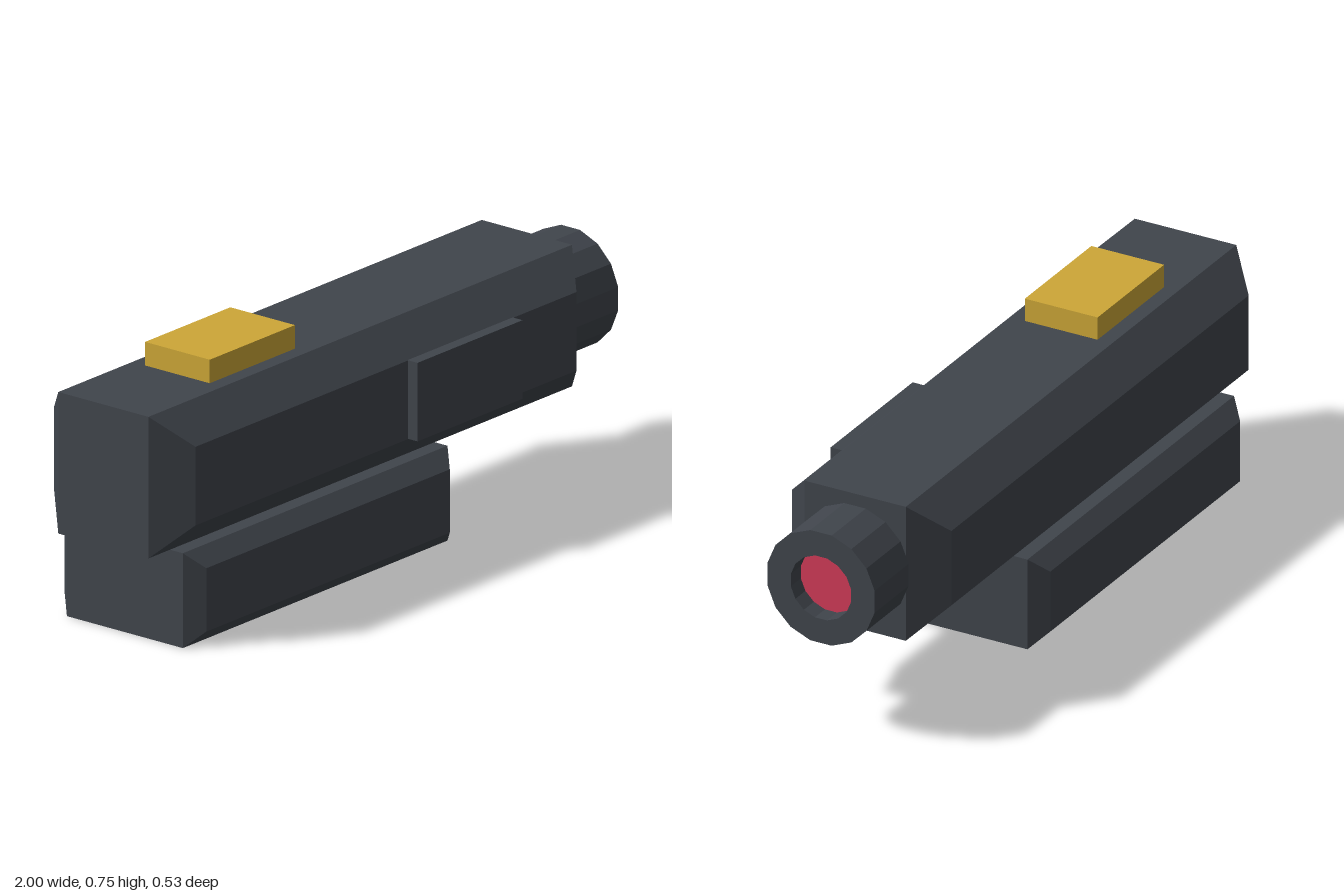
import * as THREE from 'three';

const MID_Z = -0.016;
const dark = new THREE.MeshStandardMaterial({ name: 'darkGrey', color: 0x40454c });
const gold = new THREE.MeshStandardMaterial({ name: 'gold', color: 0xcda737 });
const red = new THREE.MeshStandardMaterial({ name: 'red', color: 0xd23c59 });

// Block whose front and back faces are chamfered by c on all four sides
function chamferedBlock(x0, x1, y0, y1, depth, c) {
  const s = new THREE.Shape();
  s.moveTo(x0 + c, y0 + c);
  s.lineTo(x1 - c, y0 + c);
  s.lineTo(x1 - c, y1 - c);
  s.lineTo(x0 + c, y1 - c);
  s.closePath();
  const core = depth - 2 * c;
  const geo = new THREE.ExtrudeGeometry(s, {
    depth: core, bevelEnabled: true, bevelSegments: 1, bevelSize: c, bevelThickness: c,
  });
  return geo.translate(0, 0, MID_Z - core / 2);
}

function box(x0, x1, y0, y1, z0, z1) {
  return new THREE.BoxGeometry(x1 - x0, y1 - y0, z1 - z0)
    .translate((x0 + x1) / 2, (y0 + y1) / 2, (z0 + z1) / 2);
}

export function createModel() {
  const model = new THREE.Group();
  model.name = 'sightingDevice';
  const add = (name, geo, mat) => {
    const mesh = new THREE.Mesh(geo, mat);
    mesh.name = name;
    model.add(mesh);
  };

  // Main housing and the mount beneath it
  add('housing', chamferedBlock(-1, 0.813, 0.274, 0.683, 0.5, 0.091), dark);
  add('mount', chamferedBlock(-0.908, 0.225, 0, 0.274, 0.5, 0.0455), dark);

  // Button on top and raised panel on the front side
  add('topButton', box(-0.683, -0.318, 0.683, 0.751, -0.13, 0.098), gold);
  add('sidePanel', box(0, 0.45, 0.366, 0.593, 0.2, 0.268), dark);

  // Faceted hollow barrel
  const sides = 16, outer = 0.1715, inner = 0.0964, length = 0.187, recess = 0.055;
  const profile = [
    [outer, 0], [outer, length], [inner, length], [inner, length - recess],
  ].map(([r, y]) => new THREE.Vector2(r, y));
  const barrel = new THREE.LatheGeometry(profile, sides, Math.PI / sides).toNonIndexed();
  barrel.computeVertexNormals();
  barrel.rotateZ(-Math.PI / 2).translate(0.813, 0.478, MID_Z);
  add('barrel', barrel, dark);

  // Lens set back inside the barrel
  const lens = new THREE.CircleGeometry(inner, sides, Math.PI / sides);
  lens.rotateY(Math.PI / 2).translate(0.813 + length - recess, 0.478, MID_Z);
  add('lens', lens, red);

  return model;
}
